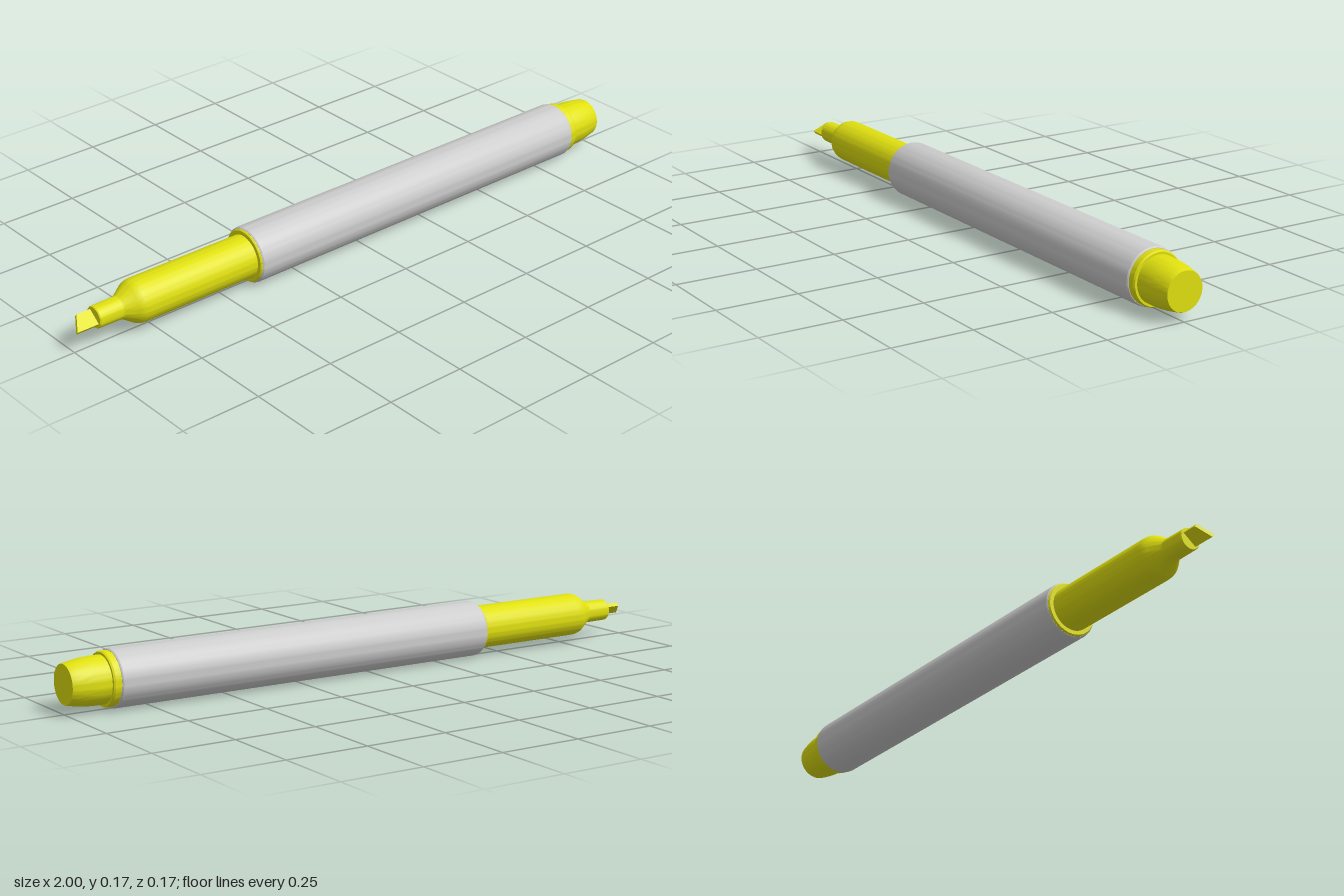
import * as THREE from 'three';
import { toCreasedNormals } from 'three/addons/utils/BufferGeometryUtils.js';

const AXIS_Y = 0.086;

// Turned part along x, from [x, radius] pairs running left to right
function turned(name, profile, material) {
  const points = profile.map(([x, r]) => new THREE.Vector2(r, x));
  const geometry = new THREE.LatheGeometry(points, 64);
  geometry.rotateZ(-Math.PI / 2);
  const mesh = new THREE.Mesh(toCreasedNormals(geometry, 0.35), material);
  mesh.name = name;
  return mesh;
}

export function createModel() {
  const yellow = new THREE.MeshStandardMaterial({ color: 0xe0e010 });
  yellow.name = 'highlighter yellow';
  const grey = new THREE.MeshStandardMaterial({ color: 0xcccccc });
  grey.name = 'light grey';

  const pen = new THREE.Group();
  pen.name = 'pen';
  pen.position.y = AXIS_Y;

  // Grey barrel with softened ends
  pen.add(turned('barrel', [
    [-0.4, 0.078], [-0.4, 0.0815], [-0.396, 0.0845], [-0.39, 0.0855],
    [0.85, 0.0855], [0.856, 0.0845], [0.86, 0.0815], [0.86, 0.078],
  ], grey));

  // Collar at the grip end of the barrel
  pen.add(turned('frontCollar', [
    [-0.406, 0.06], [-0.406, 0.078], [-0.402, 0.081], [-0.398, 0.081], [-0.398, 0.06],
  ], yellow));

  // Grip, shoulder and nib holder
  pen.add(turned('grip', [
    [-0.93, 0], [-0.93, 0.031], [-0.927, 0.033], [-0.85, 0.034],
    [-0.843, 0.037], [-0.815, 0.056], [-0.805, 0.062], [-0.795, 0.065],
    [-0.78, 0.066], [-0.4, 0.066],
  ], yellow));

  // End ring and tapered plug
  pen.add(turned('endRing', [
    [0.855, 0.08], [0.879, 0.08], [0.884, 0.077], [0.884, 0.06],
  ], yellow));
  pen.add(turned('endPlug', [
    [0.88, 0.07], [0.91, 0.07], [0.935, 0.069], [0.96, 0.066],
    [0.98, 0.0625], [0.998, 0.059], [1, 0.058], [1, 0],
  ], yellow));

  // Slanted chisel nib, turned about the pen's axis
  const outline = new THREE.Shape([
    new THREE.Vector2(-0.925, -0.025), new THREE.Vector2(-0.925, 0.025),
    new THREE.Vector2(-0.975, 0.025), new THREE.Vector2(-1, -0.025),
  ]);
  const blade = new THREE.ExtrudeGeometry(outline, { depth: 0.012, bevelEnabled: false });
  blade.translate(0, 0, -0.006);
  blade.rotateX(-THREE.MathUtils.degToRad(52));
  const nib = new THREE.Mesh(blade, yellow);
  nib.name = 'chiselNib';
  pen.add(nib);

  const model = new THREE.Group();
  model.name = 'highlighterPen';
  model.add(pen);
  return model;
}
